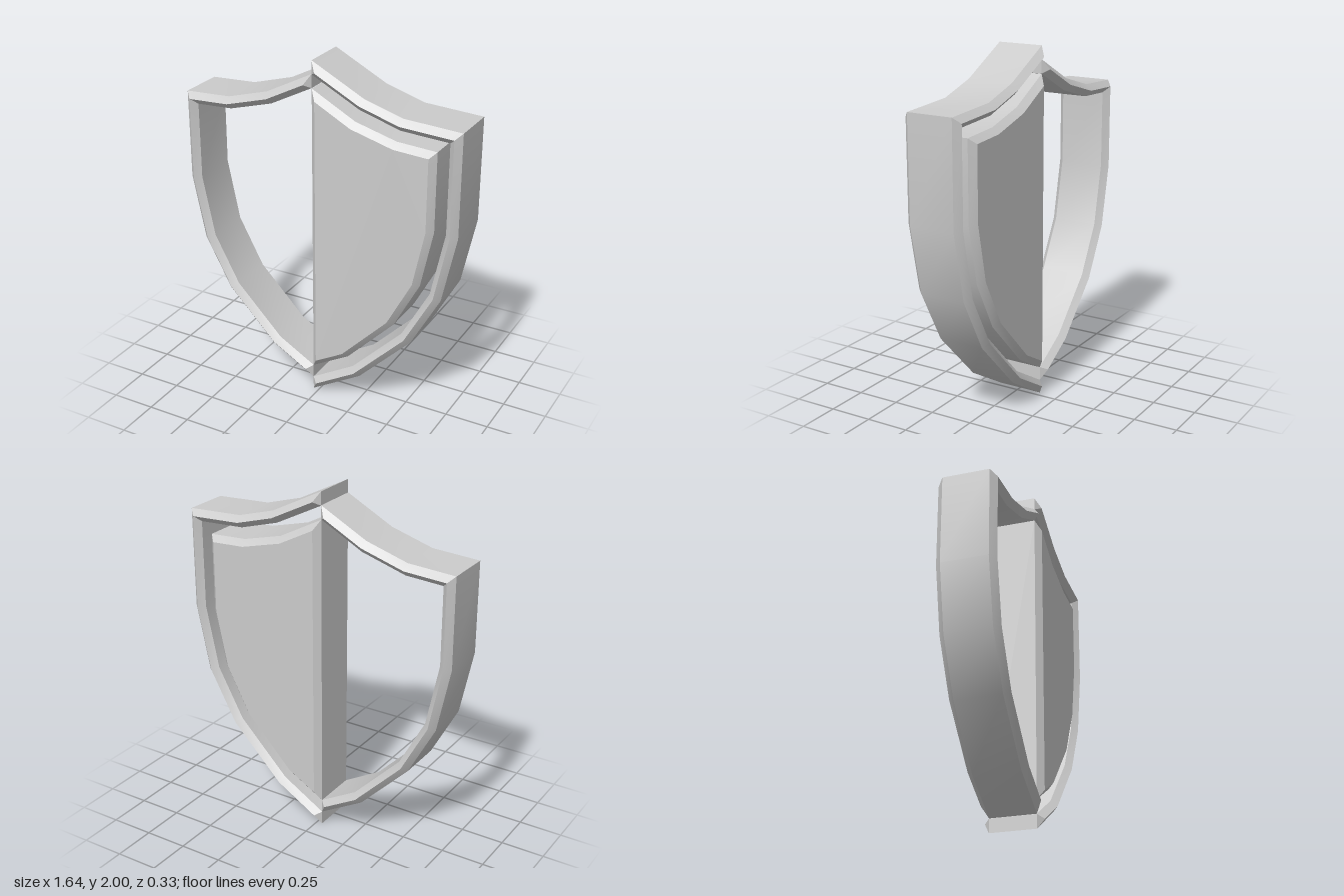
import * as THREE from 'three';
import { toCreasedNormals } from 'three/addons/utils/BufferGeometryUtils.js';

const SEAM = -0.034;   // vertical split line between the halves
const BEVEL = 0.034;
const FRONT = 0.165;   // half depth
const EDGE = FRONT - BEVEL;

// Outlines run clockwise seen from the front, starting and ending on the seam.
const RIGHT_RIM = [[SEAM, 2], [0.27, 1.845], [0.49, 1.78], [0.82, 1.763], [0.82, 1.185],
  [0.74, 0.8], [0.574, 0.493], [0.264, 0.177], [SEAM, 0]];
const LEFT_RIM = [[SEAM, 0.08], [-0.296, 0.23], [-0.586, 0.527], [-0.744, 0.822], [-0.82, 1.19],
  [-0.82, 1.7], [-0.549, 1.714], [-0.306, 1.785], [SEAM, 1.926]];
const PANEL = [[SEAM, 1.848], [0.222, 1.713], [0.459, 1.65], [0.686, 1.637], [0.686, 1.19],
  [0.617, 0.857], [0.47, 0.577], [0.19, 0.286], [SEAM, 0.158]];

// Mitred inward offset of an outline; both ends land on the line x = endX.
function inset(path, d, endX) {
  const lines = path.slice(1).map(([x, y], i) => {
    const dx = x - path[i][0], dy = y - path[i][1], l = Math.hypot(dx, dy);
    return { x: x + dy / l * d, y: y - dx / l * d, dx: dx / l, dy: dy / l };
  });
  const atEnd = (l) => [endX, l.y + (endX - l.x) * l.dy / l.dx];
  const out = [atEnd(lines[0])];
  for (let i = 1; i < lines.length; i++) {
    const a = lines[i - 1], b = lines[i];
    const t = ((b.x - a.x) * b.dy - (b.y - a.y) * b.dx) / (a.dx * b.dy - a.dy * b.dx);
    out.push([a.x + a.dx * t, a.y + a.dy * t]);
  }
  out.push(atEnd(lines[lines.length - 1]));
  return out;
}

const lift = (path, z) => path.map(([x, y]) => [x, y, z]);

function quad(out, a, b, c, d) {
  out.push(...a, ...b, ...c, ...a, ...c, ...d);
}

function makeMesh(name, positions) {
  const geometry = new THREE.BufferGeometry();
  geometry.setAttribute('position', new THREE.Float32BufferAttribute(positions, 3));
  const mesh = new THREE.Mesh(
    toCreasedNormals(geometry, 0.58),
    new THREE.MeshStandardMaterial({ color: 0xcccccc })
  );
  mesh.name = name;
  return mesh;
}

// Thin rim: a six-sided section with a ridge at the front and back.
function rim(name, path, ridgeEndX) {
  const ridge = inset(path, BEVEL, ridgeEndX);
  const inner = inset(path, 2 * BEVEL, SEAM);
  const rails = [lift(path, -EDGE), lift(path, EDGE), lift(ridge, FRONT),
    lift(inner, EDGE), lift(inner, -EDGE), lift(ridge, -FRONT)];
  const out = [];
  for (let i = 0; i < path.length - 1; i++) {
    rails.forEach((rail, k) => {
      const next = rails[(k + 1) % 6];
      quad(out, rail[i], next[i], next[i + 1], rail[i + 1]);
    });
  }
  // end caps: a flat quad with a bevel triangle at each ridge
  for (const i of [0, path.length - 1]) {
    const [ob, of, rf, nf, nb, rb] = rails.map((r) => r[i]);
    for (const t of [[ob, of, nf], [ob, nf, nb], [of, rf, nf], [nb, rb, ob]]) {
      if (i === 0) t.reverse();
      out.push(...t.flat());
    }
  }
  return makeMesh(name, out);
}

// Solid panel with bevelled front and back faces.
function panel(name, path) {
  const face = inset(path, BEVEL, SEAM + BEVEL);
  const rings = [lift(face, -FRONT), lift(path, -EDGE), lift(path, EDGE), lift(face, FRONT)];
  const out = [];
  for (let r = 0; r < 3; r++) {
    for (let j = 0; j < path.length; j++) {
      const k = (j + 1) % path.length;
      quad(out, rings[r][j], rings[r + 1][j], rings[r + 1][k], rings[r][k]);
    }
  }
  const contour = face.map(([x, y]) => new THREE.Vector2(x, y)).reverse();
  for (const [a, b, c] of THREE.ShapeUtils.triangulateShape(contour, [])) {
    for (const i of [a, b, c]) out.push(contour[i].x, contour[i].y, FRONT);
    for (const i of [c, b, a]) out.push(contour[i].x, contour[i].y, -FRONT);
  }
  return makeMesh(name, out);
}

export function createModel() {
  const shield = new THREE.Group();
  shield.name = 'shield';
  shield.add(
    rim('leftRim', RIGHT_RIM, SEAM + BEVEL),
    rim('rightRim', LEFT_RIM, SEAM - BEVEL),
    panel('innerPanel', PANEL)
  );
  return shield;
}
